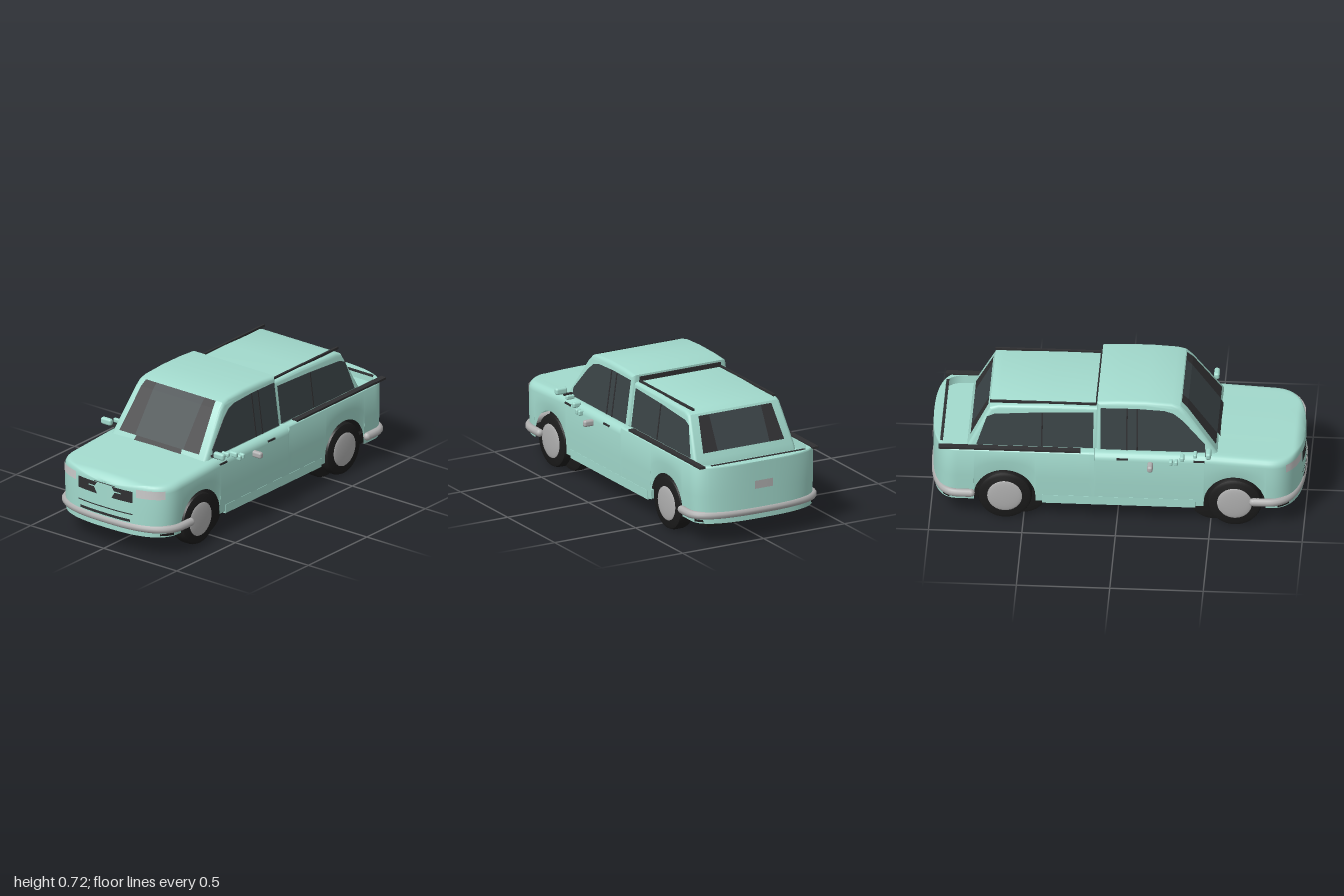
import * as THREE from 'three';
import { toCreasedNormals } from 'three/addons/utils/BufferGeometryUtils.js';
import { RoundedBoxGeometry } from 'three/addons/geometries/RoundedBoxGeometry.js';

const mat = (color) => new THREE.MeshStandardMaterial({ color, side: THREE.DoubleSide });
const PAINT = mat(0xa3dbce), GLASS = mat(0x3a4346), BLACK = mat(0x1c1c1c), TRIM = mat(0x303032);
const CHROME = mat(0xb0b0b0), LAMP = mat(0xd8d8d8);
const W = 0.372, N = 2.6;
const FRONT = { c: 0.8, l: 0.19, s: 1 }, REAR = { c: 0.85, l: 0.148, s: -1 };
const AXLES = [0.63, -0.6], ARCH = 0.165;

// Plan curve of the rounded ends: z at a given x, and half width at a given z
const planZ = (e, x, w = W) => e.s * (e.c + e.l * Math.pow(Math.max(0, 1 - Math.pow(Math.abs(x) / w, N)), 1 / N));
function halfWidth(z) {
  const e = z > 0 ? FRONT : REAR;
  const u = Math.min(1, Math.max(0, (Math.abs(z) - e.c) / e.l));
  return W * Math.pow(1 - Math.pow(u, N), 1 / N);
}

export function createModel() {
  const model = new THREE.Group();
  function add(name, geometry, material, x = 0, y = 0, z = 0) {
    const mesh = new THREE.Mesh(geometry, material);
    mesh.name = name;
    mesh.position.set(x, y, z);
    model.add(mesh);
    return mesh;
  }
  const box = (name, m, w, h, d, x, y, z) => add(name, new THREE.BoxGeometry(w, h, d), m, x, y, z);
  const soft = (name, m, w, h, d, x, y, z) =>
    add(name, new RoundedBoxGeometry(w, h, d, 2, Math.min(w, h, d) * 0.4), m, x, y, z);

  // Indexed grid surface from rows of points
  function grid(rows) {
    const n = rows[0].length, index = [];
    for (let i = 0; i < rows.length - 1; i++)
      for (let j = 0; j < n - 1; j++) {
        const a = i * n + j, b = a + n;
        index.push(a, a + 1, b, b, a + 1, b + 1);
      }
    const g = new THREE.BufferGeometry();
    g.setAttribute('position', new THREE.Float32BufferAttribute(rows.flat(2), 3));
    g.setIndex(index);
    g.computeVertexNormals();
    return g;
  }
  const quad = (name, m, a, b, c, d) => add(name, grid([[a, b], [d, c]]), m);

  // Lower body: cross-sections along z with wheel arches, hood and cargo bed
  function section(z) {
    const w = halfWidth(z), bed = z < -0.121;
    let top = 0.44, bottom = 0.12;
    if (!bed) top = z < 0.5 ? 0.435 : 0.435 - 0.055 * (z - 0.5);
    if (z > 0.94) top -= 0.028 * ((z - 0.94) / 0.05) ** 2;
    for (const a of AXLES) {
      const q = ARCH ** 2 - (z - a) ** 2;
      if (q > 0) bottom = Math.max(bottom, 0.145 + Math.sqrt(q));
    }
    const r = bed ? 0.015 : 0.04, rx = Math.min(r, w);
    const dip = bed && z > -0.95 ? 0.045 : 0;
    const half = [[w * 0.98, bottom], [w, bottom + (top - r - bottom) * 0.5]];
    for (let i = 0; i <= 5; i++) {
      const t = (i / 5) * Math.PI / 2;
      half.push([w - rx + rx * Math.cos(t), top - r + r * Math.sin(t)]);
    }
    const inner = (w - rx) * 0.92;
    half.push([inner, top], [inner * 0.99, top - dip], [inner * 0.5, top - dip + (bed ? 0 : 0.005)]);
    const full = [...half, [0, top - dip + (bed ? 0 : 0.007)], ...half.map(([x, y]) => [-x, y]).reverse()];
    return full.map(([x, y]) => [x, y, z]);
  }
  const stations = [-0.12, -0.122, -0.949, -0.951];
  for (let i = 0; i <= 82; i++) stations.push(-0.85 + i * 0.02);
  for (const e of [FRONT, REAR])
    for (let i = 0; i <= 20; i++) stations.push(e.s * (e.c + e.l * Math.sin(i / 20 * Math.PI / 2)));
  for (const a of AXLES) for (const s of [-1, 1]) for (const k of [0.94, 0.98, 0.9999, 1.0001]) stations.push(a + s * ARCH * k);
  stations.sort((a, b) => a - b);
  add('lowerBody', toCreasedNormals(grid(stations.map(section)), 0.6), PAINT);

  // Dark underside
  box('floor', BLACK, 0.56, 0.055, 1.7, 0, 0.102, -0.03);
  box('chassis', BLACK, 0.5, 0.2, 1.72, 0, 0.22, -0.02);
  for (const e of [FRONT, REAR]) {
    const shape = new THREE.Shape();
    for (let i = 0; i <= 32; i++) {
      const x = -0.365 * Math.cos(i / 32 * Math.PI);
      i ? shape.lineTo(x, -planZ(e, x) + e.s * 0.005) : shape.moveTo(x, -planZ(e, x));
    }
    add('endUnderside', new THREE.ExtrudeGeometry(shape, { depth: 0.012, bevelEnabled: false }).rotateX(-Math.PI / 2), BLACK, 0, 0.128);
  }

  // Cabin parts: a side profile (z, y) extruded across x and tapered upwards
  function profile(name, m, pts, half, bevel) {
    const shape = new THREE.Shape(pts.map(([z, y]) => new THREE.Vector2(z, y)));
    const g = new THREE.ExtrudeGeometry(shape, {
      depth: 2 * (half - bevel), bevelEnabled: bevel > 0, bevelSize: bevel, bevelThickness: bevel, bevelOffset: -bevel, bevelSegments: 4
    });
    g.translate(0, 0, bevel - half).rotateY(-Math.PI / 2);
    const p = g.attributes.position;
    for (let i = 0; i < p.count; i++) p.setX(i, p.getX(i) * (1 - 0.42 * (p.getY(i) - 0.43)));
    add(name, toCreasedNormals(g, 0.5), m);
  }
  profile('cab', PAINT, [[0.545, 0.40], [0.535, 0.435], [0.37, 0.665], [0.335, 0.7], [0.29, 0.712], [0.15, 0.72], [0, 0.718], [-0.11, 0.71], [-0.115, 0.4]], 0.325, 0.022);
  profile('cabSideGlass', GLASS, [[0.47, 0.44], [0.47, 0.485], [0.35, 0.62], [0.3, 0.66], [0.25, 0.675], [0.1, 0.682], [-0.09, 0.68], [-0.09, 0.44]], 0.328, 0);
  profile('canopy', PAINT, [[-0.1, 0.38], [-0.1, 0.672], [-0.35, 0.674], [-0.64, 0.666], [-0.685, 0.65], [-0.8, 0.43], [-0.81, 0.38]], 0.31, 0.018);
  profile('canopySideGlass', GLASS, [[-0.13, 0.435], [-0.13, 0.645], [-0.4, 0.635], [-0.66, 0.618], [-0.7, 0.6], [-0.755, 0.435]], 0.313, 0);
  for (const [z, top, half] of [[0.11, 0.682, 0.331], [0.055, 0.682, 0.331], [-0.4, 0.634, 0.316]])
    profile('windowPillar', TRIM, [[z, 0.44], [z, top], [z - 0.008, top], [z - 0.008, 0.44]], half, 0);

  // Windshield and rear window: glass with dark side bands
  function slopedWindow(name, y0, z0, y1, z1, bottom, top, mid) {
    quad(name, GLASS, [-mid, y0, z0], [mid, y0, z0], [mid, y1, z1], [-mid, y1, z1]);
    for (const s of [-1, 1])
      quad(name + 'Band', TRIM, [s * mid, y0, z0], [s * bottom, y0, z0], [s * top, y1, z1], [s * mid, y1, z1]);
  }
  slopedWindow('windshield', 0.46, 0.526, 0.672, 0.373, 0.272, 0.246, 0.165);
  slopedWindow('windshieldTop', 0.672, 0.373, 0.702, 0.341, 0.246, 0.238, 0.165);
  quad('cowl', TRIM, [-0.16, 0.437, 0.542], [0.16, 0.437, 0.542], [0.155, 0.46, 0.526], [-0.155, 0.46, 0.526]);
  slopedWindow('rearWindow', 0.46, -0.789, 0.64, -0.695, 0.25, 0.225, 0.16);
  box('cabRearGlass', TRIM, 0.5, 0.025, 0.006, 0, 0.688, -0.116);

  // Front and rear details that follow the curved ends
  function strip(name, m, e, x0, x1, y0, y1, x0b = x0, x1b = x1) {
    const row = (a, b, y) => Array.from({ length: 9 }, (_, i) => {
      const x = a + (b - a) * i / 8;
      return [x, y, planZ(e, x) + e.s * 0.006];
    });
    add(name, grid([row(x0b, x1b, y0), row(x0, x1, y1)]), m);
  }
  for (const s of [-1, 1]) {
    strip('headlight', LAMP, FRONT, s * 0.205, s * 0.345, 0.34, 0.388);
    strip('grilleUpper', TRIM, FRONT, s * 0.05, s * 0.185, 0.347, 0.37, s * 0.065);
    strip('grilleLower', TRIM, FRONT, s * 0.07, s * 0.185, 0.305, 0.34, s * 0.05);
    strip('grilleBar', TRIM, FRONT, s * 0.11, s * 0.185, 0.338, 0.349);
  }
  strip('hoodSeam', TRIM, FRONT, -0.07, 0.07, 0.373, 0.377);
  strip('lowerSeam', TRIM, FRONT, -0.185, 0.185, 0.236, 0.242);
  strip('airIntake', TRIM, FRONT, -0.168, 0.168, 0.193, 0.208);
  strip('plate', CHROME, REAR, -0.055, 0.055, 0.29, 0.335);

  // Wrap-around bumpers
  for (const e of [FRONT, REAR]) {
    const pts = [new THREE.Vector3(-0.378, 0.165, e.s * (e.c - 0.07))];
    for (let i = 0; i <= 24; i++) {
      const x = -0.378 * Math.cos(i / 24 * Math.PI);
      pts.push(new THREE.Vector3(x, 0.165, planZ(e, x, 0.378) - e.s * 0.012));
    }
    pts.push(new THREE.Vector3(0.378, 0.165, e.s * (e.c - 0.07)));
    add('bumper', new THREE.TubeGeometry(new THREE.CatmullRomCurve3(pts), 72, 0.022, 10), CHROME);
    for (const p of [pts[0], pts[pts.length - 1]]) add('bumperEnd', new THREE.SphereGeometry(0.022, 10, 8), CHROME, p.x, p.y, p.z);
  }

  // Wheels, with inner wheels set towards the middle
  function tyre(r, w) {
    const h = w / 2, pts = [[0, -h], [r * 0.85, -h], [r * 0.96, -h * 0.85], [r, -h * 0.5], [r, h * 0.5], [r * 0.96, h * 0.85], [r * 0.85, h], [0, h]];
    return toCreasedNormals(new THREE.LatheGeometry(pts.map(p => new THREE.Vector2(...p)), 40).rotateZ(-Math.PI / 2), 0.6);
  }
  for (const s of [-1, 1])
    for (const z of AXLES) {
      add('tyre', tyre(0.145, 0.09), BLACK, s * 0.322, 0.146, z);
      add('hubcap', new THREE.SphereGeometry(0.095, 32, 16).scale(0.12, 1, 1), CHROME, s * 0.365, 0.146, z);
      add('innerTyre', tyre(0.14, 0.07), BLACK, s * 0.285, 0.145, z > 0 ? 0.515 : -0.51);
    }

  // Side details
  for (const s of [-1, 1]) {
    box('sill', PAINT, 0.04, 0.05, 0.82, s * 0.348, 0.135, 0.01);
    box('bedRail', TRIM, 0.034, 0.012, 0.76, s * 0.35, 0.441, -0.575);
    box('roofRail', TRIM, 0.012, 0.012, 0.57, s * 0.25, 0.676, -0.4);
    soft('mirror', PAINT, 0.07, 0.038, 0.03, s * 0.385, 0.47, 0.492);
    box('mirrorArm', TRIM, 0.06, 0.01, 0.015, s * 0.345, 0.45, 0.48);
    soft('sideKnobUpper', PAINT, 0.05, 0.025, 0.02, s * 0.37, 0.453, 0.42);
    soft('sideKnobMiddle', PAINT, 0.05, 0.03, 0.024, s * 0.37, 0.43, 0.35);
    for (const z of [0.318, 0.29]) soft('sideKnobLower', PAINT, 0.04, 0.03, 0.02, s * 0.375, 0.403, z);
    soft('sideLamp', CHROME, 0.065, 0.036, 0.03, s * 0.395, 0.38, 0.18);
    for (const z of [0.44, 0.03]) box('doorHandle', TRIM, 0.012, 0.009, 0.06, s * 0.369, 0.408, z);
  }
  box('tailgateSeam', TRIM, 0.58, 0.008, 0.014, 0, 0.438, -0.942);

  // Exhaust
  box('exhaustPipe', BLACK, 0.03, 0.016, 0.07, -0.2, 0.09, -0.825);
  box('exhaustTip', CHROME, 0.03, 0.016, 0.06, -0.2, 0.106, -0.865);
  return model;
}
